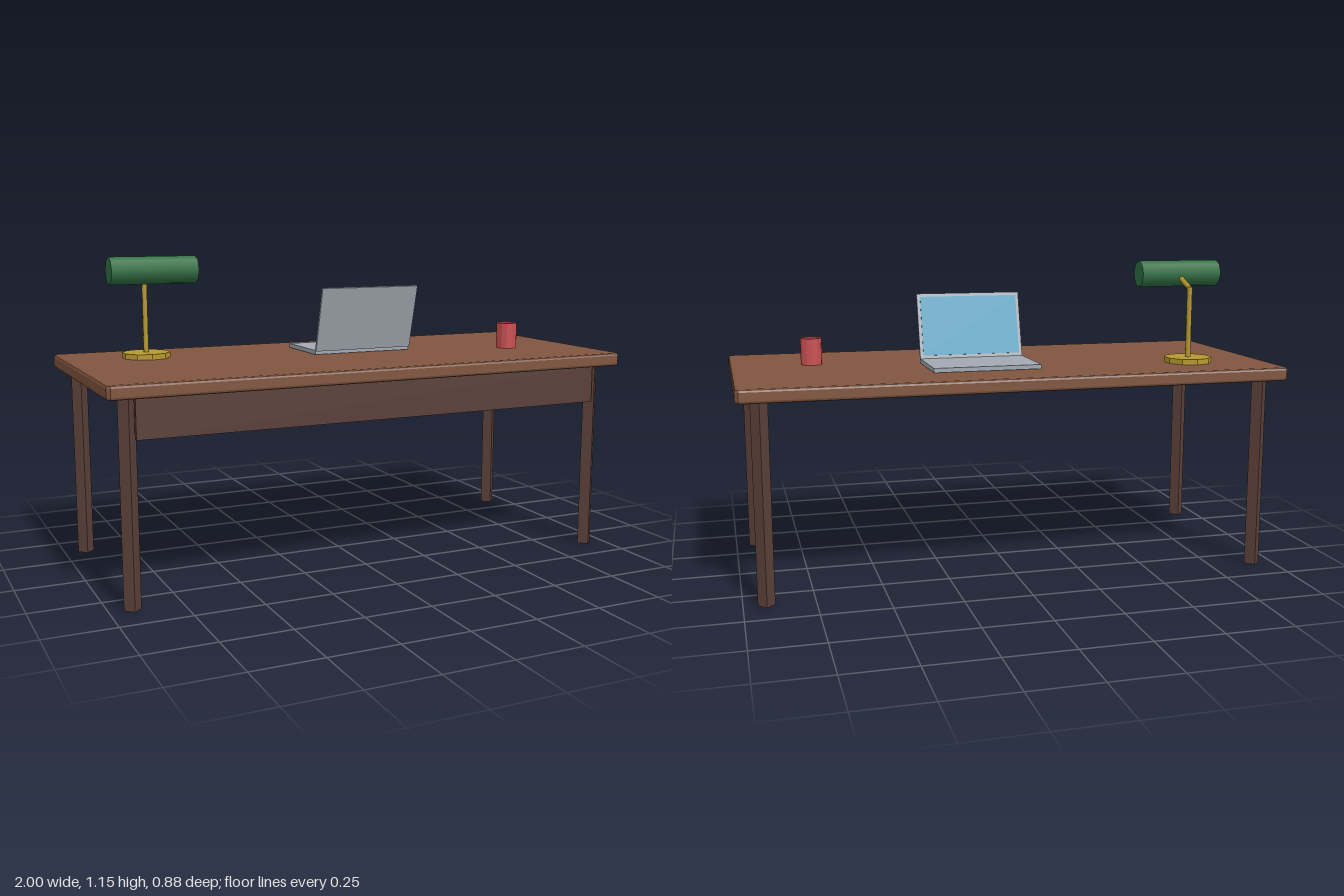
import * as THREE from 'three';

const mat = (name, color, extra = {}) => {
  const m = new THREE.MeshStandardMaterial({ color, ...extra });
  m.name = name;
  return m;
};

export function createModel() {
  const desk = new THREE.Group();
  desk.name = 'desk';

  const topWood = mat('table top wood', 0x80553f);
  const darkWood = mat('dark wood', 0x5a3f38);
  const brass = mat('brass', 0xb8992f);
  const green = mat('lamp green', 0x2f6f42);
  const red = mat('mug red', 0xc94f52);
  const silver = mat('laptop silver', 0xa2a9b2);
  const blue = mat('screen blue', 0x429bbd);

  const add = (parent, name, geometry, material, x = 0, y = 0, z = 0) => {
    const mesh = new THREE.Mesh(geometry, material);
    mesh.name = name;
    mesh.position.set(x, y, z);
    parent.add(mesh);
    return mesh;
  };
  const flat = (geometry) => {
    const g = geometry.index ? geometry.toNonIndexed() : geometry;
    g.computeVertexNormals();
    return g;
  };
  const group = (name, x, y, z) => {
    const g = new THREE.Group();
    g.name = name;
    g.position.set(x, y, z);
    desk.add(g);
    return g;
  };

  // Table top: slab with bevelled edges and clipped corners
  const b = 0.01, w = 1 - b, d = 0.44 - b, c = 0.006;
  const outline = new THREE.Shape([
    [-w + c, -d], [w - c, -d], [w, -d + c], [w, d - c],
    [w - c, d], [-w + c, d], [-w, d - c], [-w, -d + c],
  ].map(([x, y]) => new THREE.Vector2(x, y)));
  const slab = new THREE.ExtrudeGeometry(outline, {
    depth: 0.05 - 2 * b, bevelEnabled: true, bevelSize: b, bevelThickness: b, bevelSegments: 2,
  });
  slab.rotateX(-Math.PI / 2);
  add(desk, 'tableTop', slab, topWood, 0, 0.72 + b, 0);

  // Four diamond-section legs
  const legGeometry = flat(new THREE.CylinderGeometry(0.03, 0.03, 0.72, 4));
  for (const x of [-0.92, 0.92]) {
    for (const z of [-0.36, 0.36]) add(desk, 'leg', legGeometry, darkWood, x, 0.36, z);
  }

  // Panel under the front edge
  add(desk, 'frontPanel', new THREE.BoxGeometry(1.8, 0.14, 0.02), darkWood, 0, 0.65, 0.39);

  // Desk lamp: base, post, angled arm, horizontal shade
  const lamp = group('lamp', -0.7, 0.77, -0.2);
  add(lamp, 'lampBase', flat(new THREE.CylinderGeometry(0.09, 0.09, 0.02, 10)), brass, 0, 0.01, 0);
  add(lamp, 'lampPost', new THREE.CylinderGeometry(0.01, 0.01, 0.27, 6), brass, 0, 0.15, 0);
  const armLength = Math.hypot(0.12, 0.05);
  const arm = add(lamp, 'lampArm', new THREE.CylinderGeometry(0.01, 0.01, armLength, 6), brass, 0, 0.305, 0.06);
  arm.rotation.x = Math.atan2(0.12, 0.05);
  const shade = add(lamp, 'lampShade', new THREE.CylinderGeometry(0.05, 0.05, 0.32, 8), green, 0, 0.33, 0.12);
  shade.rotation.z = Math.PI / 2;

  // Laptop, opened towards the back
  const laptop = group('laptop', 0.1, 0.77, 0);
  add(laptop, 'laptopBase', new THREE.BoxGeometry(0.4, 0.016, 0.26), silver, 0, 0.01, -0.12);
  const lid = new THREE.Group();
  lid.name = 'laptopLid';
  lid.position.set(0, 0.014, 0.012);
  lid.rotation.x = THREE.MathUtils.degToRad(15);
  laptop.add(lid);
  add(lid, 'lidShell', new THREE.BoxGeometry(0.4, 0.25, 0.01), silver, 0, 0.127, 0);
  add(lid, 'screen', new THREE.BoxGeometry(0.375, 0.225, 0.003), blue, 0, 0.127, -0.006);

  // Mug with an open top
  const profile = [[0, 0], [0.04, 0], [0.04, 0], [0.04, 0.1], [0.04, 0.1], [0.03, 0.1],
    [0.03, 0.1], [0.03, 0.015], [0.03, 0.015], [0, 0.015]];
  const mug = new THREE.LatheGeometry(profile.map(([x, y]) => new THREE.Vector2(x, y)), 12);
  add(desk, 'mug', flat(mug), red, 0.7, 0.77, 0.1);

  return desk;
}
